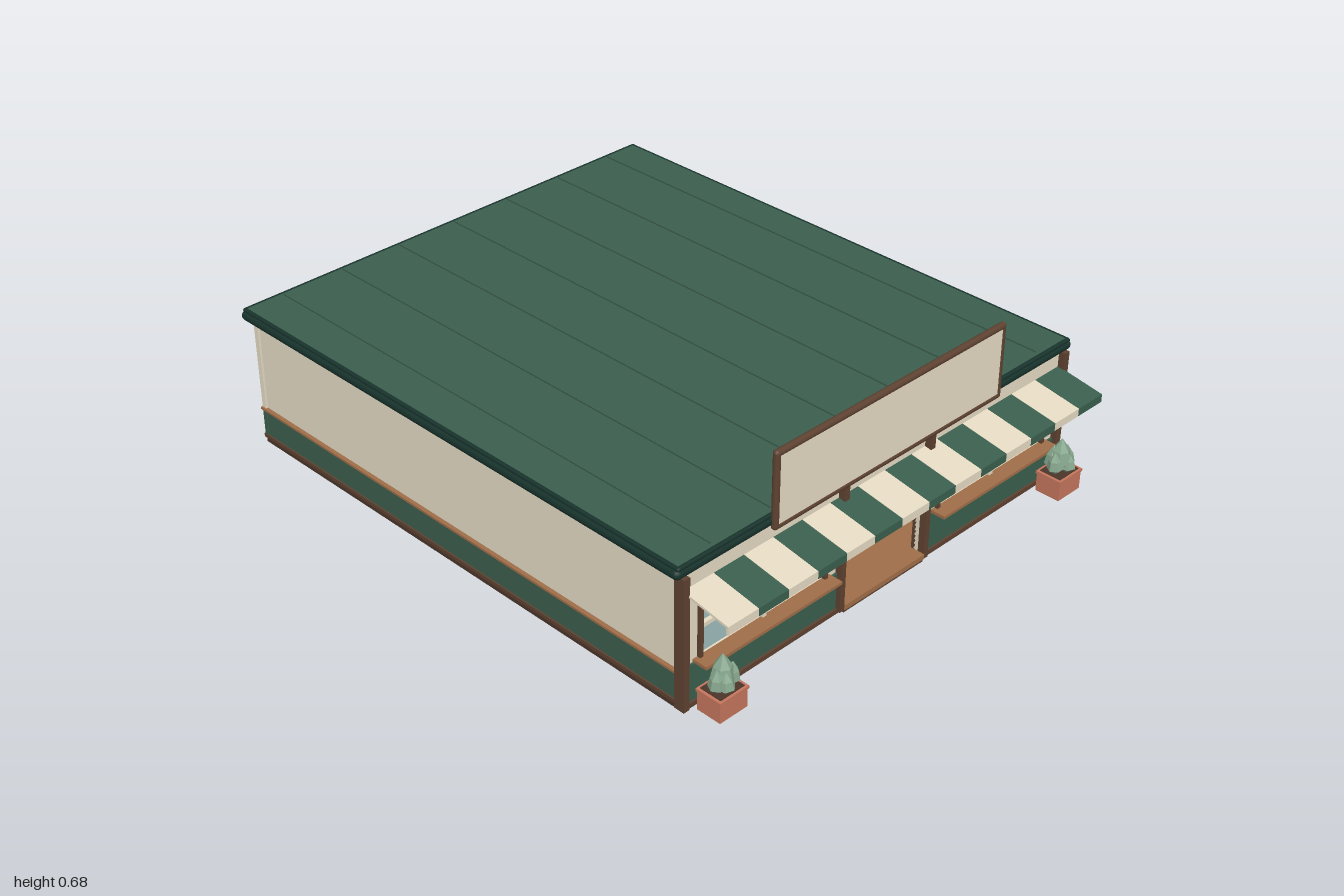
import * as THREE from 'three';

const mat = (name, color) => {
  const m = new THREE.MeshStandardMaterial({ color });
  m.name = name;
  return m;
};

export function createModel() {
  const cream = mat('cream', 0xe5dbc4);
  const green = mat('green', 0x3b5f4e);
  const darkGreen = mat('darkGreen', 0x18332c);
  const brown = mat('brown', 0x5e4231);
  const wood = mat('wood', 0xa06e48);
  const earth = mat('darkBase', 0x4a3529);
  const glass = mat('glass', 0xa0bdbd);
  const clay = mat('terracotta', 0xc5765c);
  const leaf = mat('foliage', 0x87a78e);

  const model = new THREE.Group();
  model.name = 'shop';
  const add = (name, geo, m, parent = model) => {
    const mesh = new THREE.Mesh(geo, m);
    mesh.name = name;
    parent.add(mesh);
    return mesh;
  };
  // Box given by its minimum and maximum on each axis
  const box = (name, m, x0, x1, y0, y1, z0, z1, parent = model) => {
    const g = new THREE.BoxGeometry(x1 - x0, y1 - y0, z1 - z0);
    g.translate((x0 + x1) / 2, (y0 + y1) / 2, (z0 + z1) / 2);
    return add(name, g, m, parent);
  };
  const mirrored = (name, m, x0, x1, ...rest) => {
    box(name + 'Left', m, x0, x1, ...rest);
    box(name + 'Right', m, -x1, -x0, ...rest);
  };

  // Foundation, plank floor and doorstep
  box('foundation', earth, -0.785, 0.785, 0, 0.02, -0.975, 0.84);
  for (let i = 0; i < 18; i++) {
    const z = -0.96 + i * 0.099;
    box('floorPlank', wood, -0.765, 0.765, 0.018, 0.029, z, z + 0.096);
  }
  box('doorStep', wood, -0.17, 0.17, 0.014, 0.03, 0.815, 0.865);
  box('doorStepRiser', brown, -0.17, 0.17, 0.003, 0.014, 0.815, 0.86);

  // Side and back walls with green wainscot, inside and outside
  mirrored('sideWall', cream, 0.76, 0.78, 0.02, 0.445, -0.97, 0.83);
  box('backWall', cream, -0.76, 0.76, 0.02, 0.445, -0.97, -0.95);
  mirrored('sideWainscot', green, 0.755, 0.785, 0.02, 0.12, -0.96, 0.83);
  box('backWainscot', green, -0.78, 0.78, 0.02, 0.12, -0.975, -0.945);
  mirrored('sideRail', wood, 0.752, 0.793, 0.12, 0.127, -0.975, 0.83);
  box('backRail', wood, -0.793, 0.793, 0.12, 0.127, -0.98, -0.96);
  box('innerBackRail', brown, -0.755, 0.755, 0.118, 0.125, -0.952, -0.942);
  mirrored('sideSkirting', brown, 0.78, 0.79, 0.018, 0.03, -0.975, 0.83);
  box('backSkirting', brown, -0.79, 0.79, 0.018, 0.03, -0.98, -0.97);
  mirrored('backCornerPost', cream, 0.772, 0.787, 0.127, 0.44, -0.978, -0.96);
  mirrored('backCornerFoot', green, 0.772, 0.787, 0.02, 0.12, -0.978, -0.96);

  // Front wall pierced by the doorway and two windows
  const rect = (P, x0, x1, y0, y1) => {
    const p = new P();
    p.moveTo(x0, y0);
    p.lineTo(x1, y0);
    p.lineTo(x1, y1);
    p.lineTo(x0, y1);
    p.closePath();
    return p;
  };
  const front = new THREE.Shape([[-0.78, 0.02], [-0.17, 0.02], [-0.17, 0.37], [0.17, 0.37],
    [0.17, 0.02], [0.78, 0.02], [0.78, 0.445], [-0.78, 0.445]].map(p => new THREE.Vector2(...p)));
  for (const s of [-1, 1]) {
    front.holes.push(rect(THREE.Path, s * 0.48 - 0.235, s * 0.48 + 0.235, 0.15, 0.36));
  }
  const frontGeo = new THREE.ExtrudeGeometry(front, { depth: 0.02, bevelEnabled: false });
  frontGeo.translate(0, 0, 0.82);
  add('frontWall', frontGeo, cream);
  mirrored('frontWainscot', green, 0.18, 0.78, 0.02, 0.14, 0.815, 0.846);
  mirrored('frontSkirting', brown, 0.18, 0.785, 0.006, 0.021, 0.82, 0.853);
  mirrored('cornerPost', brown, 0.776, 0.797, 0.012, 0.44, 0.825, 0.862);
  mirrored('doorPost', brown, 0.17, 0.189, 0.012, 0.44, 0.815, 0.862);
  box('doorHead', brown, -0.17, 0.17, 0.362, 0.377, 0.815, 0.85);

  // Windows
  for (const s of [-1, 1]) {
    const w = new THREE.Group();
    w.name = s > 0 ? 'windowLeft' : 'windowRight';
    w.position.x = s * 0.48;
    model.add(w);
    box('pane', glass, -0.235, 0.235, 0.15, 0.36, 0.826, 0.834, w);
    for (const e of [-1, 1]) {
      box('jamb', brown, e * 0.241 - 0.006, e * 0.241 + 0.006, 0.148, 0.36, 0.82, 0.852, w);
    }
    box('lintel', brown, -0.247, 0.247, 0.355, 0.367, 0.82, 0.852, w);
    box('mullion', cream, -0.007, 0.007, 0.15, 0.356, 0.824, 0.848, w);
    box('transom', cream, -0.235, 0.235, 0.239, 0.252, 0.824, 0.847, w);
    box('sill', wood, -0.263, 0.263, 0.14, 0.15, 0.82, 0.89, w);
  }

  // Door leaf standing open inwards
  box('openDoor', green, -0.17, -0.15, 0.031, 0.36, 0.68, 0.815);

  // Flat roof with rounded gutter and standing seams
  box('roofSoffit', darkGreen, -0.8, 0.8, 0.437, 0.455, -0.985, 0.845);
  box('roofPanel', green, -0.804, 0.804, 0.46, 0.4755, -0.988, 0.846);
  const rod = (name, m, r, len, axis, x, y, z) => {
    const g = new THREE.CapsuleGeometry(r, len, 4, 10);
    if (axis === 'x') g.rotateZ(Math.PI / 2);
    if (axis === 'z') g.rotateX(Math.PI / 2);
    add(name, g, m).position.set(x, y, z);
  };
  for (const s of [-1, 1]) {
    rod('sideGutter', darkGreen, 0.016, 1.824, 'z', s * 0.802, 0.453, -0.072);
    rod('sideRoofEdge', darkGreen, 0.007, 1.835, 'z', s * 0.803, 0.47, -0.071);
  }
  for (const z of [-0.984, 0.84]) {
    rod('endGutter', darkGreen, 0.016, 1.604, 'x', 0, 0.453, z);
  }
  for (const z of [-0.988, 0.846]) {
    rod('endRoofEdge', darkGreen, 0.007, 1.606, 'x', 0, 0.47, z);
  }
  for (let i = -3; i <= 3; i++) {
    box('roofSeam', green, i * 0.224 - 0.0015, i * 0.224 + 0.0015, 0.474, 0.481, -0.975, 0.83);
  }

  // Blank sign board with a rounded frame
  box('signBack', brown, -0.46, 0.46, 0.439, 0.663, 0.845, 0.858);
  box('signFace', cream, -0.455, 0.455, 0.444, 0.658, 0.857, 0.865);
  for (const y of [0.438, 0.664]) rod('signFrameRail', brown, 0.011, 0.92, 'x', 0, y, 0.857);
  for (const x of [-0.46, 0.46]) rod('signFrameStile', brown, 0.011, 0.226, 'y', x, 0.551, 0.857);

  // Striped awning: sloping top with a short hanging valance
  const awning = new THREE.Group();
  awning.name = 'awning';
  model.add(awning);
  const profile = new THREE.Shape([[0.84, 0.38], [0.992, 0.355], [0.992, 0.335], [1, 0.335],
    [1, 0.361], [0.84, 0.388]].map(p => new THREE.Vector2(...p)));
  const n = 14, stripe = 1.56 / n;
  for (let i = 0; i < n; i++) {
    const g = new THREE.ExtrudeGeometry(profile, { depth: stripe - 0.001, bevelEnabled: false });
    g.rotateY(-Math.PI / 2);
    g.translate(-0.78 + (i + 1) * stripe - 0.0005, 0, 0);
    add('awningStripe', g, i % 2 ? green : cream, awning);
  }

  // Potted shrubs at both front corners
  const leafProfile = [[0, 0], [1, 0.3], [0.75, 0.65], [0, 1]];
  const shrubs = [[0, 0, 0.036, 0.115], [-0.03, 0.004, 0.026, 0.078], [0.03, 0.004, 0.026, 0.082],
    [0.01, 0.02, 0.027, 0.07], [-0.012, -0.016, 0.028, 0.09]];
  for (const s of [-1, 1]) {
    const pot = new THREE.Group();
    pot.name = s > 0 ? 'planterLeft' : 'planterRight';
    pot.position.set(s * 0.717, 0, 0.923);
    model.add(pot);
    box('planterBox', clay, -0.051, 0.051, 0.022, 0.085, -0.042, 0.042, pot);
    box('planterRim', clay, -0.054, 0.054, 0.082, 0.091, -0.045, 0.045, pot);
    box('soil', earth, -0.045, 0.045, 0.09, 0.093, -0.037, 0.037, pot);
    for (const [x, z, r, h] of shrubs) {
      const lathe = new THREE.LatheGeometry(leafProfile.map(p => new THREE.Vector2(p[0] * r, p[1] * h)), 6);
      const g = lathe.toNonIndexed();
      g.computeVertexNormals();
      const m = add('shrubLeaf', g, leaf, pot);
      m.position.set(x * s * 0.8, 0.087, z);
      m.rotation.set(0, x * 20, -x * s * 3);
    }
  }
  return model;
}
